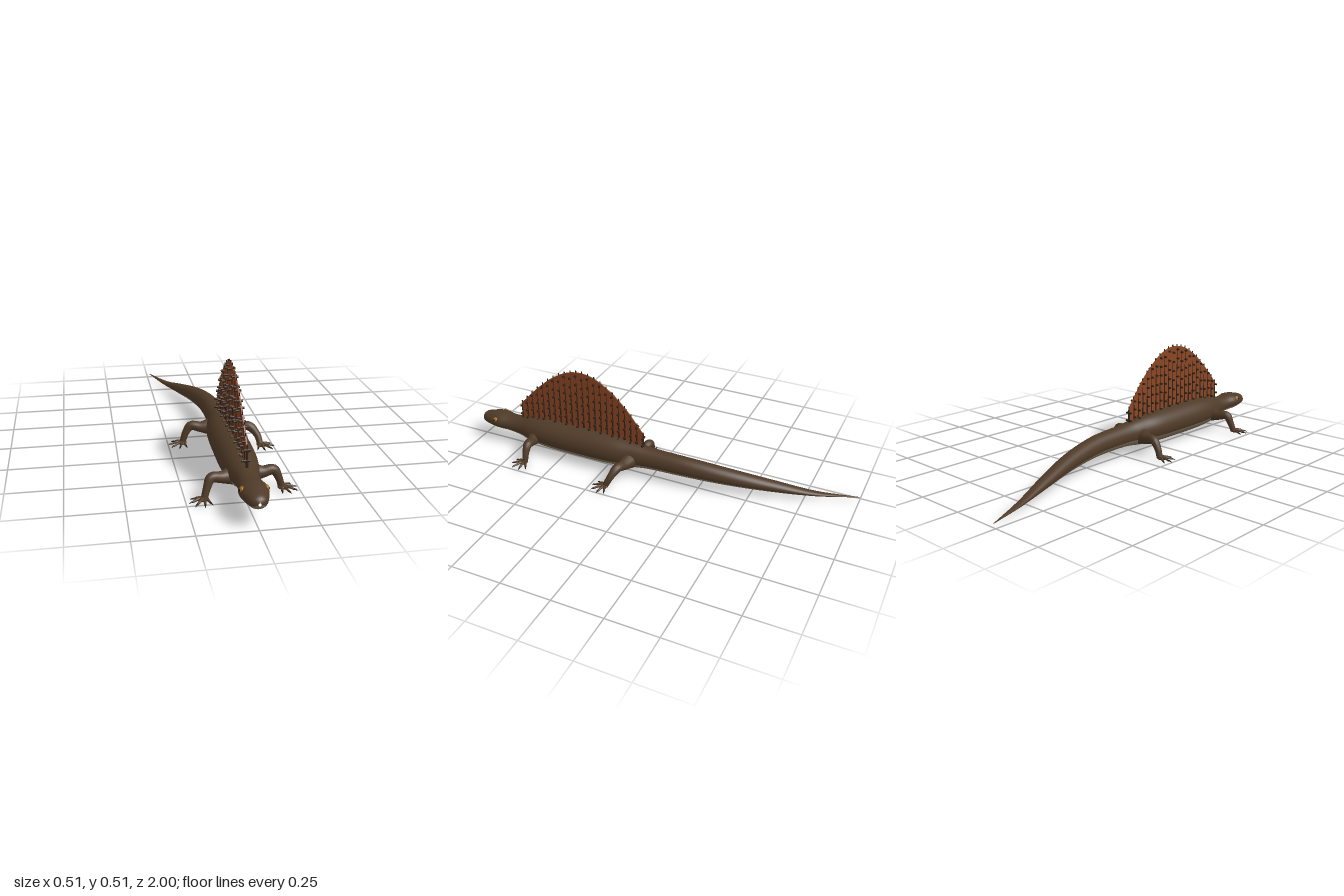
import * as THREE from 'three';
import { mergeGeometries } from 'three/addons/utils/BufferGeometryUtils.js';

const mat = (name, color, side = THREE.FrontSide) => {
  const m = new THREE.MeshStandardMaterial({ color, side });
  m.name = name;
  return m;
};
const V = (x, y, z) => new THREE.Vector3(x, y, z);

export function createModel() {
  const skin = mat('brown skin', 0x4f3a27);
  const belly = mat('pale belly', 0x857359);
  const sailSkin = mat('rust sail', 0x8c4522);
  const bone = mat('dark spine', 0x2f231a);
  const claw = mat('dark claw', 0x1f1913);
  const amber = mat('amber eye', 0x9a6c18);
  const pupil = mat('black pupil', 0x0c0a08);

  const root = new THREE.Group();
  const add = (name, geo, material, parent = root) => {
    const m = new THREE.Mesh(geo, material);
    m.name = name;
    parent.add(m);
    return m;
  };

  // Head, trunk and curved tail: one loft of ellipses [z, centre x, half width, bottom, top]
  const stations = [
    [1.0, 0, 0.006, 0.105, 0.118], [0.988, 0, 0.03, 0.088, 0.135], [0.96, 0, 0.045, 0.08, 0.146],
    [0.89, 0, 0.062, 0.073, 0.159], [0.82, 0, 0.053, 0.068, 0.153], [0.75, 0, 0.054, 0.055, 0.16],
    [0.67, 0, 0.072, 0.036, 0.177], [0.56, 0, 0.083, 0.028, 0.187], [0.4, 0, 0.085, 0.026, 0.188],
    [0.22, 0, 0.081, 0.028, 0.184], [0.1, 0, 0.062, 0.037, 0.172], [0, 0, 0.051, 0.048, 0.16],
    [-0.2, -0.01, 0.047, 0.049, 0.15], [-0.4, -0.044, 0.043, 0.04, 0.122], [-0.6, -0.1, 0.034, 0.026, 0.08],
    [-0.8, -0.165, 0.019, 0.016, 0.036], [-1.0, -0.236, 0.001, 0.017, 0.02],
  ];
  const spline = (pts) => new THREE.CatmullRomCurve3(pts, false, 'catmullrom', 0.5);
  const mid = spline(stations.map(([z, x, , b, t]) => V(x, (b + t) / 2, z)));
  const half = spline(stations.map(([, , w, b, t]) => V(w, (t - b) / 2, 0)));
  const rings = 96, upper = 22, lower = 14, around = upper + lower, edge = 0.42;
  const pos = [], index = [];
  for (let i = 0; i <= rings; i++) {
    const c = mid.getPoint(i / rings), r = half.getPoint(i / rings);
    for (let j = 0; j < around; j++) {
      const a = j < upper
        ? -edge + (j / upper) * (Math.PI + 2 * edge)
        : Math.PI + edge + ((j - upper) / lower) * (Math.PI - 2 * edge);
      pos.push(c.x + r.x * Math.cos(a), c.y + r.y * Math.sin(a), c.z);
    }
  }
  const strip = (from, to) => {
    for (let i = 0; i < rings; i++) for (let j = from; j < to; j++) {
      const k = (j + 1) % around;
      const a = i * around + j, b = i * around + k, c = a + around, d = b + around;
      index.push(a, c, b, b, c, d);
    }
  };
  const body = new THREE.BufferGeometry();
  body.setAttribute('position', new THREE.Float32BufferAttribute(pos, 3));
  strip(0, upper);
  const split = index.length;
  strip(upper, around);
  body.setIndex(index);
  body.addGroup(0, split, 0);
  body.addGroup(split, index.length - split, 1);
  body.computeVertexNormals();
  add('body', body, [skin, belly]);

  // Eyes
  for (const s of [-1, 1]) {
    const eye = add('eye', new THREE.SphereGeometry(0.015, 16, 12), amber);
    eye.position.set(s * 0.05, 0.131, 0.897);
    eye.scale.set(0.75, 1, 1);
    const dot = add('pupil', new THREE.SphereGeometry(0.006, 10, 8), pupil);
    dot.position.set(s * 0.0595, 0.132, 0.9);
    dot.scale.set(0.4, 1, 1);
  }

  // Sail membrane between the spines
  const sailHeights = [0.235, 0.36, 0.447, 0.494, 0.49, 0.44, 0.355, 0.25];
  const z0 = 0.05, z1 = 0.75;
  const crest = spline(sailHeights.map((y, i) => V(0, y, z0 + i * 0.1)));
  const outline = new THREE.Shape();
  outline.moveTo(z0, 0.14);
  for (let i = 0; i <= 42; i++) {
    const p = crest.getPoint(i / 42);
    outline.lineTo(p.z, p.y);
  }
  outline.lineTo(z1, 0.14);
  outline.closePath();
  const membrane = new THREE.ExtrudeGeometry(outline, { depth: 0.006, bevelEnabled: false });
  membrane.translate(0, 0, -0.003);
  membrane.rotateY(-Math.PI / 2);
  add('sail', membrane, sailSkin);

  // Tapering spines with short crossbars
  const spines = [], bars = [], count = 22, foot = 0.15;
  for (let i = 0; i < count; i++) {
    const p = crest.getPoint(i / (count - 1));
    const h = p.y + 0.01 - foot;
    spines.push(new THREE.CylinderGeometry(0.0028, 0.0065, h, 8).translate(0, foot + h / 2, p.z));
    const n = Math.max(2, Math.round(h / 0.05));
    for (let k = 0; k < n; k++) {
      const f = (k + 0.55 + 0.3 * (i % 2)) / (n + 0.4);
      const len = 0.036 - 0.009 * f;
      bars.push(new THREE.CylinderGeometry(0.0055, 0.0055, len, 8)
        .rotateZ(Math.PI / 2).translate(0, foot + h * f, p.z));
    }
  }
  add('sailSpines', mergeGeometries(spines), bone);
  add('spineCrossbars', mergeGeometries(bars), bone);

  // Tube whose radius follows a list of values
  const taperedTube = (points, radii, segs = 24, sides = 14) => {
    const curve = new THREE.CatmullRomCurve3(points);
    const g = new THREE.TubeGeometry(curve, segs, 1, sides);
    const p = g.attributes.position, v = V(0, 0, 0);
    for (let i = 0; i < p.count; i++) {
      const t = Math.floor(i / (sides + 1)) / segs;
      const f = t * (radii.length - 1), k = Math.min(Math.floor(f), radii.length - 2);
      const r = THREE.MathUtils.lerp(radii[k], radii[k + 1], f - k);
      const c = curve.getPointAt(t);
      v.fromBufferAttribute(p, i).sub(c).multiplyScalar(r).add(c);
      p.setXYZ(i, v.x, v.y, v.z);
    }
    return g;
  };

  // Sprawling legs: side, hip z, knee z, foot x and z, heading of the toes from outward to forward
  const legs = [
    ['frontLeftLeg', 1, 0.655, 0.645, 0.175, 0.645, 32],
    ['frontRightLeg', -1, 0.665, 0.685, 0.17, 0.705, 52],
    ['hindLeftLeg', 1, 0.105, 0.13, 0.188, 0.17, 48],
    ['hindRightLeg', -1, 0.1, 0.08, 0.178, 0.08, 38],
  ];
  for (const [name, s, hipZ, kneeZ, fx, fz, heading] of legs) {
    const leg = new THREE.Group();
    leg.name = name;
    root.add(leg);
    add('limb', taperedTube([
      V(s * 0.035, 0.092, hipZ), V(s * 0.09, 0.088, (hipZ + kneeZ) / 2), V(s * 0.138, 0.093, kneeZ),
      V(s * (fx - 0.013), 0.055, (kneeZ + fz) / 2), V(s * fx, 0.012, fz),
    ], [0.046, 0.036, 0.026, 0.023, 0.022, 0.018, 0.016, 0.015]), skin, leg);
    const palm = add('foot', new THREE.SphereGeometry(1, 16, 10), skin, leg);
    palm.position.set(s * (fx + 0.005), 0.011, fz + 0.006);
    palm.scale.set(0.024, 0.01, 0.022);

    for (let k = 0; k < 5; k++) {
      const a = THREE.MathUtils.degToRad(heading - 66 + k * 33);
      const len = [0.044, 0.053, 0.058, 0.052, 0.042][k];
      const at = (d, y) => V(s * (fx + d * Math.cos(a)), y, fz + d * Math.sin(a));
      add('toe', taperedTube([at(0.008, 0.012), at(len * 0.6, 0.013), at(len, 0.007)],
        [0.008, 0.0062, 0.0045], 8, 8), skin, leg);
      add('claw', taperedTube([at(len - 0.004, 0.008), at(len + 0.009, 0.0065), at(len + 0.019, 0.002)],
        [0.0046, 0.0034, 0.0004], 6, 8), claw, leg);
    }
  }
  return root;
}
